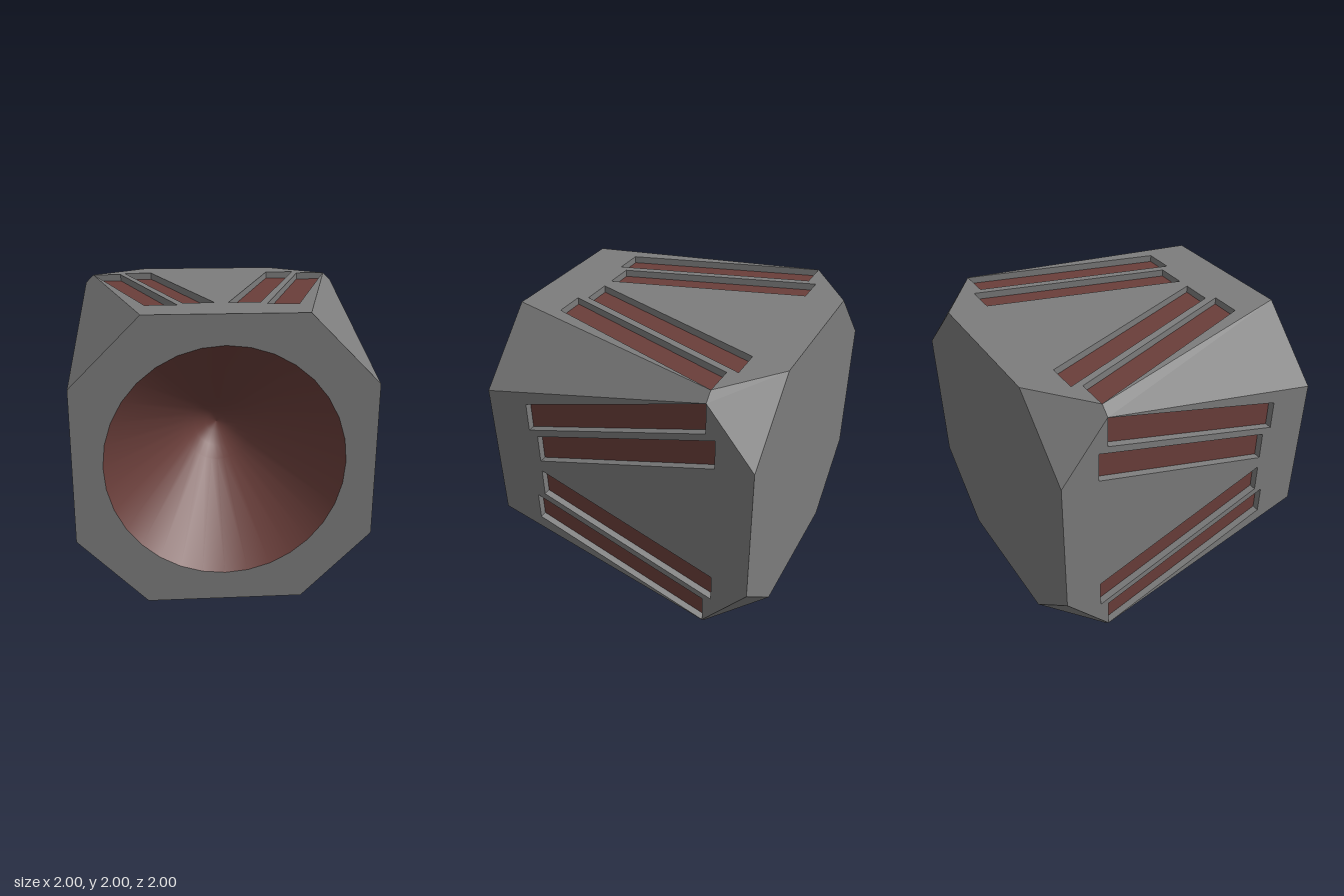
import * as THREE from 'three';

const grey = new THREE.MeshStandardMaterial({ color: 0x7c7c7c });
const red = new THREE.MeshStandardMaterial({ color: 0x6a3e3a });
const F = 0.53;      // half edge of the front and back octagons
const W = 0.94;      // half width of a side panel at its widest
const WZ = -0.67;    // z of that widest line
const DEPTH = 0.05;  // slot depth

const shape2 = (pts) => pts.map(([x, y]) => new THREE.Vector2(x, y));

// Flat-sided geometry from quads, each listed anticlockwise from outside
function quads(list) {
  const pos = list.flatMap(([a, b, c, d]) => [a, b, c, a, c, d].flat());
  const g = new THREE.BufferGeometry();
  g.setAttribute('position', new THREE.Float32BufferAttribute(pos, 3));
  g.computeVertexNormals();
  return g;
}

function add(parent, name, geometry, material) {
  const mesh = new THREE.Mesh(geometry, material);
  mesh.name = name;
  parent.add(mesh);
  return mesh;
}

// Slot outlines on one panel: an outer and an inner one, mirrored
const half = [
  [[0.295, -0.685], [0.51, -0.685], [0.937, 0.67], [0.72, 0.67]],
  [[0.045, -0.62], [0.26, -0.62], [0.69, 0.735], [0.475, 0.735]],
];
const slots = [...half, ...half.map((s) => s.map(([x, y]) => [-x, y]).reverse())];

// One side panel, lying in xy and facing +z, then laid flat on top
function sidePanel() {
  const panel = new THREE.Group();
  panel.name = 'sidePanel';
  const face = new THREE.Shape(shape2([[-F, -1], [F, -1], [W, -WZ], [F, 1], [-F, 1], [-W, -WZ]]));
  face.holes = slots.map((s) => new THREE.Path(shape2(s)));
  add(panel, 'panelFace', new THREE.ShapeGeometry(face), grey);

  const walls = slots.flatMap((s) => s.map((a, i) => {
    const b = s[(i + 1) % s.length];
    return [[...a, 0], [...b, 0], [...b, -DEPTH], [...a, -DEPTH]];
  }));
  add(panel, 'slotWalls', quads(walls), grey);

  const floors = slots.map((s) => new THREE.Shape(shape2(s)));
  add(panel, 'slotFloors', new THREE.ShapeGeometry(floors), red).position.z = -DEPTH;

  panel.rotation.x = -Math.PI / 2;
  panel.position.y = 1;
  return panel;
}

// Sloping facets that cut one long corner, front and back
function cornerFacets() {
  const front = [[1, F, 1], [1, W, WZ], [W, 1, WZ], [F, 1, 1]];
  const back = [[1, W, WZ], [1, F, -1], [F, 1, -1], [W, 1, WZ]];
  return quads([front, back]);
}

export function createModel() {
  const model = new THREE.Group();
  model.name = 'facetedBlock';
  const body = new THREE.Group();
  body.name = 'body';
  body.position.y = 1;
  model.add(body);

  // Four slotted sides and four cut corners
  for (let i = 0; i < 4; i++) {
    const side = new THREE.Group();
    side.name = 'side' + (i + 1);
    side.rotation.z = i * Math.PI / 2;
    side.add(sidePanel());
    add(side, 'cornerFacets', cornerFacets(), grey);
    body.add(side);
  }

  // Octagonal ends, the front one with a round opening
  const octagon = shape2([[F, -1], [1, -F], [1, F], [F, 1], [-F, 1], [-1, F], [-1, -F], [-F, -1]]);
  const backFace = add(body, 'backFace', new THREE.ShapeGeometry(new THREE.Shape(octagon)), grey);
  backFace.rotation.y = Math.PI;
  backFace.position.z = -1;

  const frontShape = new THREE.Shape(octagon);
  const rim = Array.from({ length: 32 }, (_, i) => {
    const a = i * Math.PI / 16;
    return [0.8 * Math.cos(a), 0.8 * Math.sin(a)];
  });
  frontShape.holes.push(new THREE.Path(shape2(rim)));
  add(body, 'frontFace', new THREE.ShapeGeometry(frontShape), grey).position.z = 1;

  // Conical hollow with a rounded tip, facing inwards
  const profile = shape2([[0.8, 1], [0.24, 0.3], [0.16, 0.21], [0.08, 0.14], [0, 0.12]]);
  const cone = new THREE.LatheGeometry(profile, 32);
  cone.rotateX(Math.PI / 2);
  add(body, 'coneHollow', cone, red);

  return model;
}
